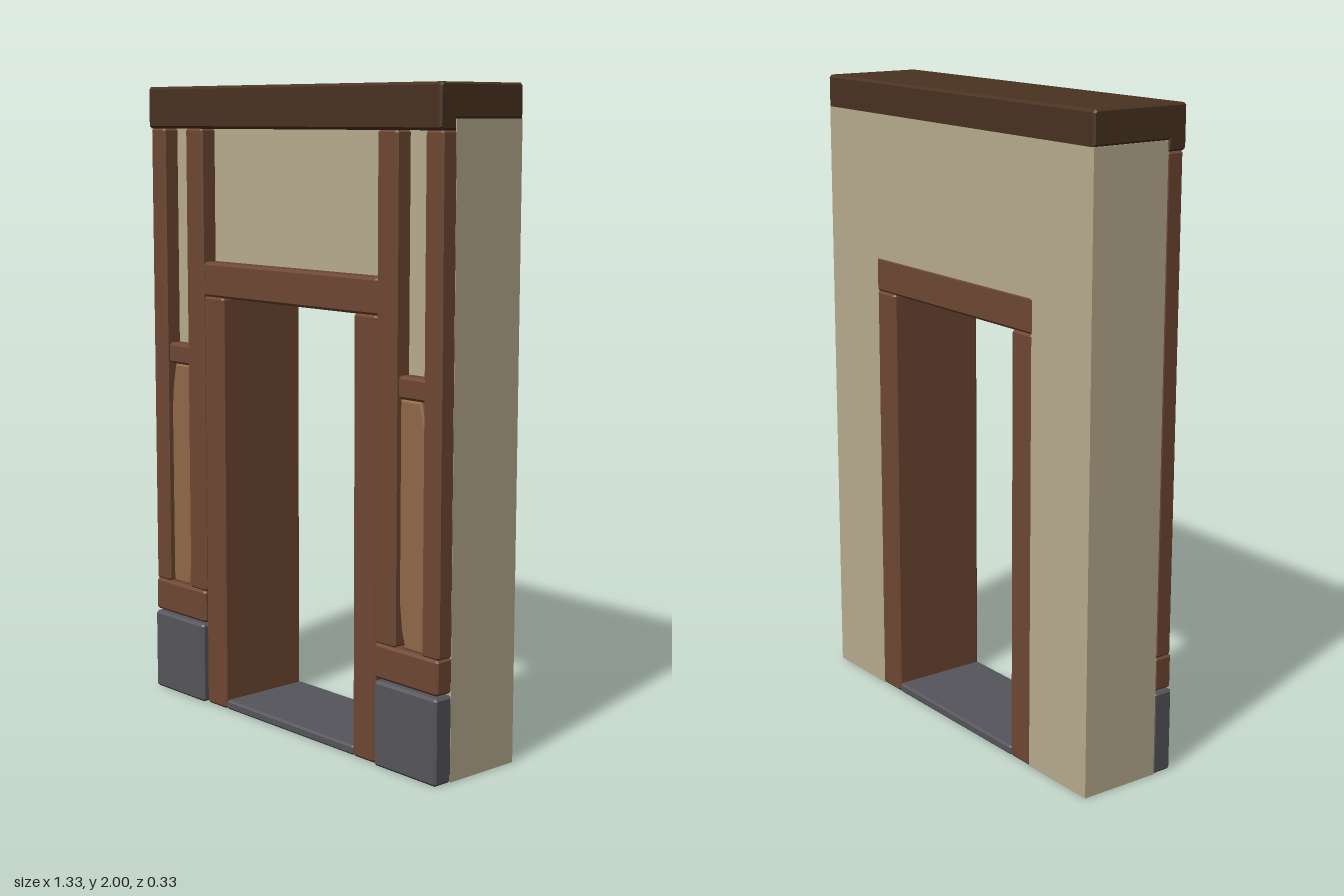
import * as THREE from 'three';
import { ConvexGeometry } from 'three/addons/geometries/ConvexGeometry.js';

const mat = (name, color) => {
  const m = new THREE.MeshStandardMaterial({ color });
  m.name = name;
  return m;
};

export function createModel() {
  const plaster = mat('plaster', 0xb8ab8e);
  const darkWood = mat('dark wood', 0x4a3221);
  const wood = mat('wood', 0x6e4733);
  const lightWood = mat('light wood', 0x906848);
  const stone = mat('stone', 0x55555b);
  const group = new THREE.Group();

  const add = (name, geometry, material) => {
    const mesh = new THREE.Mesh(geometry, material);
    mesh.name = name;
    group.add(mesh);
    return mesh;
  };

  // Box between two corners with every edge chamfered by c
  const block = (name, material, [x0, x1], [y0, y1], [z0, z1], c = 0.008) => {
    const h = [(x1 - x0) / 2, (y1 - y0) / 2, (z1 - z0) / 2];
    const points = [];
    for (const sx of [-1, 1]) for (const sy of [-1, 1]) for (const sz of [-1, 1]) {
      for (let full = 0; full < 3; full++) {
        const s = [sx, sy, sz].map((v, i) => v * (h[i] - (i === full ? 0 : c)));
        points.push(new THREE.Vector3(...s));
      }
    }
    const mesh = add(name, new ConvexGeometry(points), material);
    mesh.position.set((x0 + x1) / 2, (y0 + y1) / 2, (z0 + z1) / 2);
    return mesh;
  };

  const polygon = (pts) => new THREE.Shape(pts.map(([x, y]) => new THREE.Vector2(x, y)));

  // Plaster wall around the doorway
  const wall = new THREE.ExtrudeGeometry(polygon([
    [-0.663, 0], [-0.395, 0], [-0.395, 1.445], [0.395, 1.445],
    [0.395, 0], [0.663, 0], [0.663, 1.9], [-0.663, 1.9],
  ]), { depth: 0.265, bevelEnabled: false });
  wall.translate(0, 0, -0.165);
  add('wall', wall, plaster);

  // Top beam: an L profile whose front lip hangs over the wall face
  const c = 0.008;
  const beam = new THREE.ExtrudeGeometry(polygon([
    [-0.167, 1.9], [0.1, 1.9], [0.1, 1.868], [0.165 - c, 1.868], [0.165, 1.868 + c],
    [0.165, 2 - c], [0.165 - c, 2], [-0.167 + c, 2], [-0.167, 2 - c],
  ]), { depth: 1.318, bevelThickness: 0.006, bevelSize: 0.006, bevelOffset: -0.006, bevelSegments: 1 });
  beam.rotateY(-Math.PI / 2);
  beam.translate(0.659, 0, 0);
  add('topBeam', beam, darkWood);

  // Door frame and threshold run through the full depth of the wall
  block('doorHead', wood, [-0.402, 0.402], [1.34, 1.45], [-0.168, 0.155]);
  block('threshold', stone, [-0.303, 0.303], [0, 0.03], [-0.167, 0.152], 0.006);

  for (const s of [-1, 1]) {
    const side = s > 0 ? 'left' : 'right';
    const span = (a, b) => (s > 0 ? [a, b] : [-b, -a]);
    block(side + 'DoorJamb', wood, span(0.303, 0.4), [0, 1.342], [-0.168, 0.155]);

    // Side bay framing
    block(side + 'PlinthStone', stone, span(0.407, 0.665), [0, 0.262], [0.095, 0.165]);
    block(side + 'BottomRail', wood, span(0.402, 0.665), [0.268, 0.375], [0.095, 0.16]);
    block(side + 'InnerPost', wood, span(0.402, 0.485), [0.372, 1.87], [0.095, 0.157]);
    block(side + 'OuterPost', wood, span(0.595, 0.665), [0.372, 1.87], [0.095, 0.157]);
    block(side + 'MiddleRail', wood, span(0.483, 0.597), [1.108, 1.175], [0.095, 0.148]);

    // Leaning brace, clipped by the posts and rails
    const pts = [
      [0.592, 0.373], [0.51, 0.373], [0.495, 0.43], [0.486, 0.51],
      [0.486, 1.107], [0.572, 1.107], [0.586, 1.04], [0.593, 0.96],
    ].map(([x, y]) => [s * x, y]);
    const brace = new THREE.ExtrudeGeometry(polygon(pts), {
      depth: 0.034, bevelThickness: 0.006, bevelSize: 0.006, bevelOffset: -0.006, bevelSegments: 1,
    });
    brace.translate(0, 0, 0.1);
    add(side + 'Brace', brace, lightWood);
  }

  return group;
}
